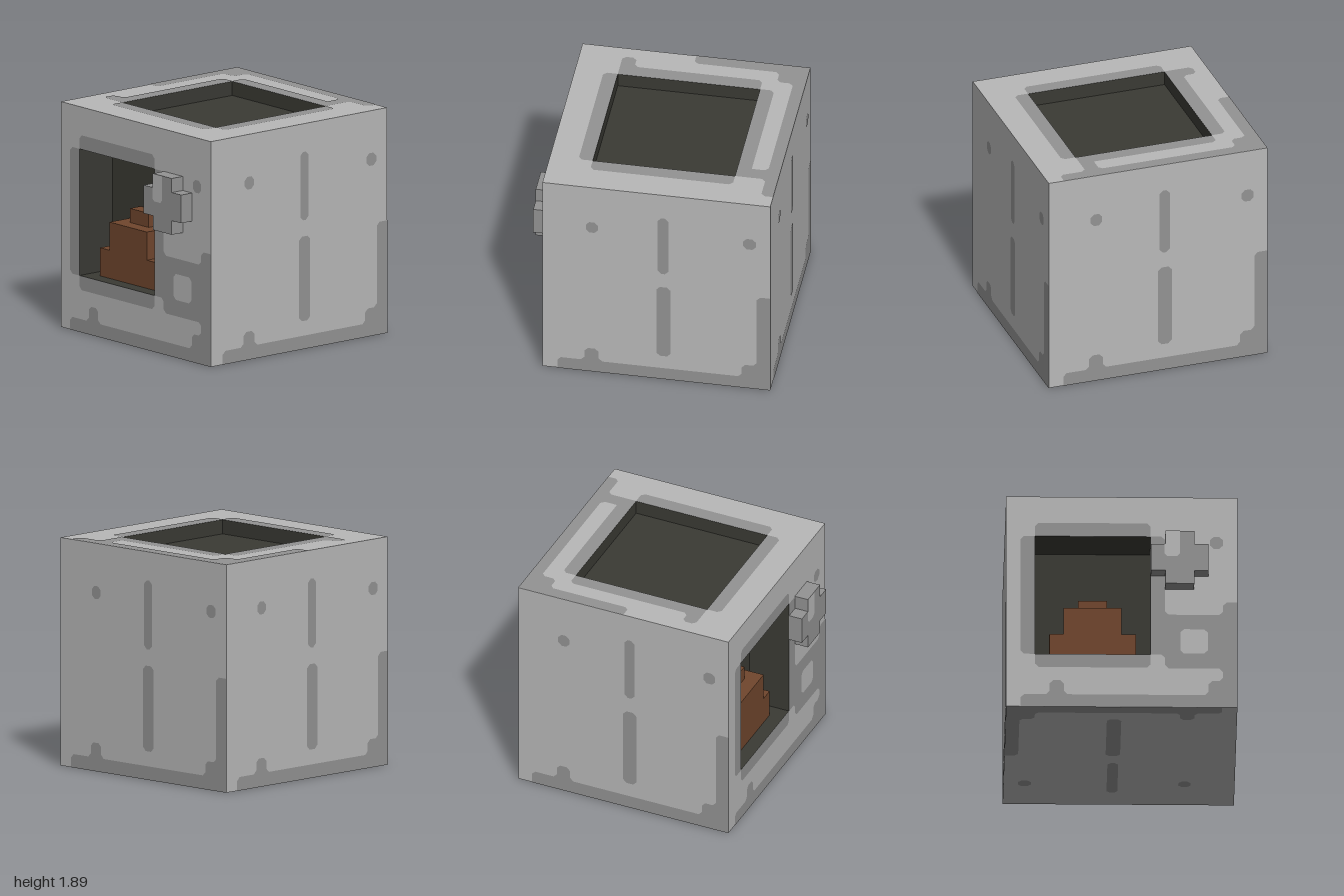
import * as THREE from 'three';

const U = 0.1175;          // one cell of the 16 x 16 grid laid over each cube face
const HALF = 8 * U;
const CENTER = new THREE.Vector3(0, HALF, -0.06);

const mat = (name, color, side = THREE.FrontSide) =>
  Object.assign(new THREE.MeshStandardMaterial({ color, side }), { name });

// Closed path in grid cells; corners are chamfered unless marked sharp or on the face's edge
function trace(path, pts, cut) {
  const out = [];
  pts.forEach(([x, y, sharp], i) => {
    const here = new THREE.Vector2(x, y);
    if (!cut || sharp || x === 0 || y === 0 || x === 16 || y === 16) return out.push(here);
    for (const n of [pts.at(i - 1), pts[(i + 1) % pts.length]]) {
      const d = new THREE.Vector2(n[0] - x, n[1] - y).setLength(cut);
      out.push(d.add(here));
    }
  });
  path.setFromPoints(out.map((p) => p.subScalar(8).multiplyScalar(U)));
  return path;
}

const rect = (x0, y0, x1, y1) => [[x0, y0], [x1, y0], [x1, y1], [x0, y1]];

function shape(pts, hole, cut = 0) {
  const s = trace(new THREE.Shape(), pts, cut);
  if (hole) s.holes.push(trace(new THREE.Path(), hole, cut));
  return s;
}

export function createModel() {
  const stone = mat('light stone', 0xb8b8b8);
  const worn = mat('dark stone', 0x939393);
  const soot = mat('soot', 0x3a3a34, THREE.DoubleSide);
  const clay = mat('brown earth', 0x70462d);

  const model = new THREE.Group();
  model.name = 'stoneOven';
  const add = (parent, name, geometry, material) => {
    const m = new THREE.Mesh(geometry, material);
    m.name = name;
    parent.add(m);
    return m;
  };

  // One cube face: wall (with optional opening) and its worn patches
  function face(name, rotation, opening, patches) {
    const g = new THREE.Group();
    g.name = name;
    g.position.copy(CENTER);
    g.rotation.set(...rotation);
    model.add(g);
    add(g, name + 'Wall', new THREE.ShapeGeometry(shape(rect(0, 0, 16, 16), opening)), stone)
      .position.z = HALF;
    const shapes = patches.map(([pts, hole]) => shape(pts, hole, 0.25));
    add(g, name + 'Patches', new THREE.ShapeGeometry(shapes), worn).position.z = HALF + 0.003;
    return g;
  }

  // Plain faces share one pattern of cracks, spots and a worn border
  const plain = [
    [rect(3.05, 12.1, 3.9, 13)], [rect(14.1, 12.1, 15, 13)],
    [rect(8.1, 9.15, 8.85, 14)], [rect(8, 2, 9, 8)],
    [[[1.05, 0], [1.05, 0.95], [2.95, 0.95], [2.95, 2], [3.95, 2], [3.95, 0.95], [14, 0.95],
      [14, 2], [15.05, 2], [15.05, 8], [16, 8], [16, 0]]],
  ];
  face('leftSide', [0, Math.PI / 2, 0], null, plain);
  face('back', [0, Math.PI, 0], null, plain);
  face('rightSide', [0, -Math.PI / 2, 0], null, plain);
  face('underside', [Math.PI / 2, 0, Math.PI], null, plain);

  // Front with the hearth opening
  face('front', [0, 0, 0], rect(2, 4, 10, 13), [
    [[[1, 4], [2, 4, 1], [2, 13, 1], [1, 13]]],
    [[[2, 13, 1], [10, 13, 1], [10, 14], [2, 14]]],
    [[[2, 3], [10, 3], [10, 4, 1], [2, 4, 1]]],
    [rect(14.1, 12.1, 15, 13)],
    [[[1, 0], [1, 0.93], [3, 0.93], [3, 2], [4, 2], [4, 0.93], [14, 0.93], [14, 2], [15, 2],
      [15, 2.95], [11, 2.95], [11, 4], [10, 4, 1], [10, 13, 1], [11, 13], [11, 7.05], [15, 7.05],
      [15, 8], [16, 8], [16, 0]], rect(12.05, 4.1, 13.95, 5.95)],
  ]);

  // Top with the shallow pit
  face('top', [-Math.PI / 2, 0, 0], rect(3, 3, 13, 13), [
    [[[3, 13, 1], [13, 13, 1], [13, 14, 1], [12, 14, 1], [3, 14]]],
    [[[13, 3, 1], [14, 3], [14, 13], [13, 13, 1]]],
    [[[3, 2], [13, 2], [13, 3, 1], [3, 3, 1]]],
    [[[3, 3, 1], [3, 13, 1], [2, 13], [2, 4], [1, 4], [1, 3]]],
    [[[0, 16], [0, 8], [0.9, 8], [0.9, 14], [2, 14], [2, 15.15], [12, 15.15], [12, 14, 1],
      [13, 14, 1], [13, 15.15], [14.9, 15.15], [14.9, 16]]],
  ]);

  // Box given by its corners in grid cells (x, y, z from the left bottom back)
  function box(name, [x0, y0, z0], [x1, y1, z1], material, openFace) {
    const geo = new THREE.BoxGeometry((x1 - x0) * U, (y1 - y0) * U, (z1 - z0) * U);
    if (openFace !== undefined) {
      geo.setIndex([...geo.index.array].filter((_, i) => Math.floor(i / 6) !== openFace));
      geo.clearGroups();
      // Cavity: normals point inwards
      const idx = geo.index.array;
      for (let i = 0; i < idx.length; i += 3) [idx[i], idx[i + 1]] = [idx[i + 1], idx[i]];
      const n = geo.attributes.normal;
      for (let i = 0; i < n.array.length; i++) n.array[i] *= -1;
    }
    add(model, name, geo, material).position
      .set((x0 + x1) / 2 - 8, (y0 + y1) / 2 - 8, (z0 + z1) / 2 - 8).multiplyScalar(U).add(CENTER);
  }
  box('hearthCavity', [2, 4, 13], [10, 13, 16], soot, 4);
  box('topPit', [3, 15, 3], [13, 16, 13], soot, 2);

  // Stepped mound in the hearth
  box('moundBase', [3, 4, 13.02], [9, 6, 15], clay);
  box('moundMiddle', [4, 6, 13.02], [8, 8, 15], clay);
  box('moundTop', [5, 8, 13.02], [7, 9, 14], clay);

  // Cross-shaped handle with a light chip
  const handle = new THREE.Group();
  handle.name = 'handle';
  handle.position.copy(CENTER).setZ(CENTER.z + HALF);
  model.add(handle);
  const cross = shape([[11, 9], [13, 9], [13, 10], [14, 10], [14, 12], [13, 12], [13, 13], [11, 13],
    [11, 12], [10, 12], [10, 10], [11, 10]]);
  add(handle, 'handleCross', new THREE.ExtrudeGeometry(cross, { depth: U, bevelEnabled: false }), worn);
  const chip = shape([[10.95, 11.05], [12, 11.05], [12, 13, 1], [11, 13, 1], [11, 12, 1], [10.95, 12, 1]],
    null, 0.2);
  add(handle, 'handleChip', new THREE.ShapeGeometry(chip), stone).position.z = U + 0.003;

  return model;
}
